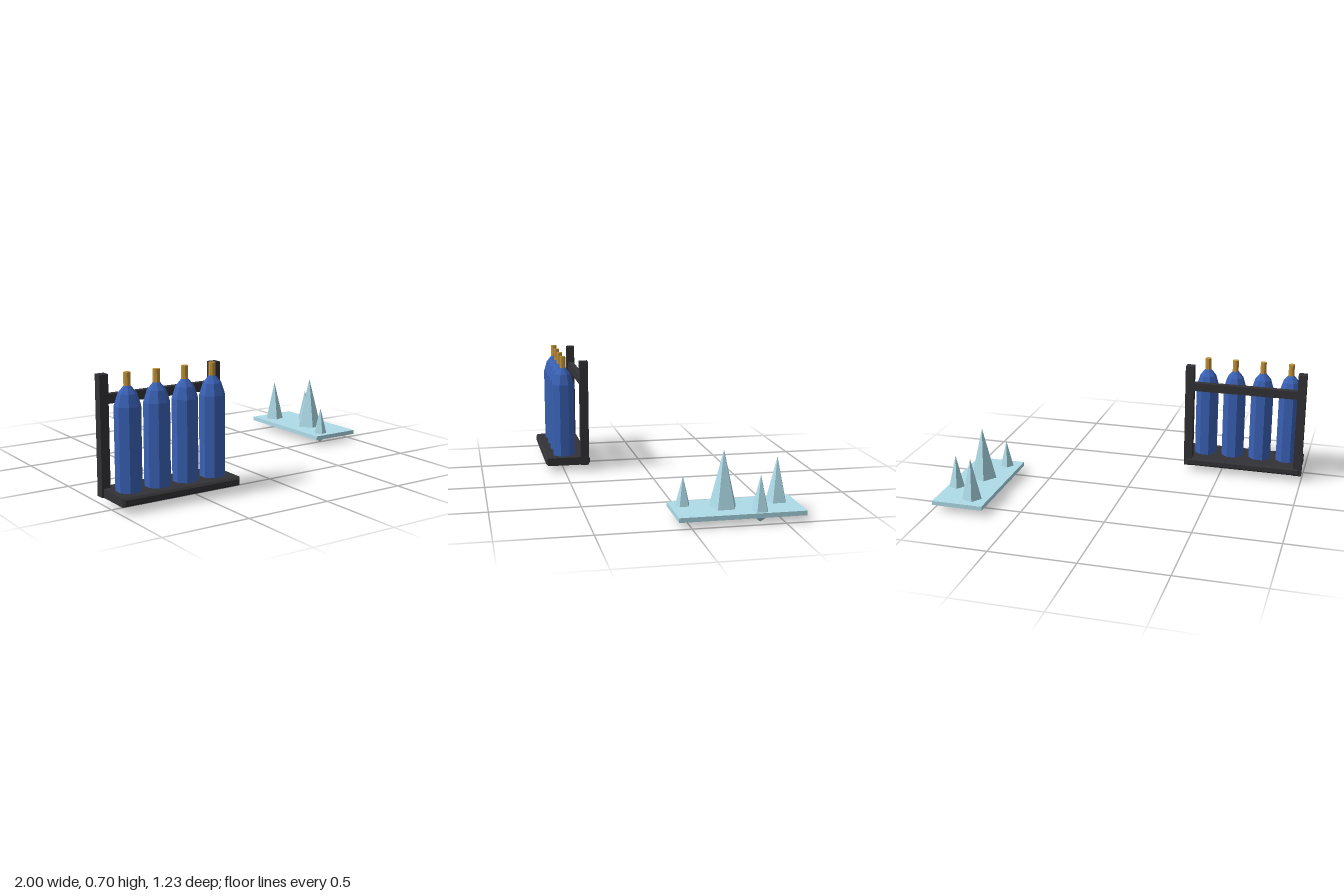
import * as THREE from 'three';

const mat = (color) => new THREE.MeshStandardMaterial({ color, flatShading: true });

function add(parent, name, geometry, material, x = 0, y = 0, z = 0) {
  const mesh = new THREE.Mesh(geometry, material);
  mesh.name = name;
  mesh.position.set(x, y, z);
  parent.add(mesh);
  return mesh;
}

// Centred box whose front and back edges are chamfered by c
function chamferBox(w, h, d, c) {
  const a = w / 2 - c, b = h / 2 - c;
  const shape = new THREE.Shape([
    new THREE.Vector2(-a, -b), new THREE.Vector2(a, -b),
    new THREE.Vector2(a, b), new THREE.Vector2(-a, b),
  ]);
  return new THREE.ExtrudeGeometry(shape, {
    depth: d - 2 * c, bevelEnabled: true, bevelSize: c, bevelThickness: c, bevelSegments: 1,
  }).translate(0, 0, c - d / 2);
}

// Faceted turned form from [radius, height] pairs
const lathe = (points, sides, start) =>
  new THREE.LatheGeometry(points.map(([r, y]) => new THREE.Vector2(r, y)), sides, start);

export function createModel() {
  const model = new THREE.Group();
  const frameMat = mat(0x333337), glassMat = mat(0x3a61b5);
  const goldMat = mat(0xc2923a), iceMat = mat(0xaedce9);

  // Rack: tray, two back posts and a rail between them
  const rack = new THREE.Group();
  rack.name = 'bottleRack';
  model.add(rack);
  const rackX = -0.635;
  add(rack, 'tray', chamferBox(0.71, 0.048, 0.27, 0.011), frameMat, rackX, 0.06, 0.478);
  for (const side of [-1, 1]) {
    add(rack, 'post', new THREE.BoxGeometry(0.05, 0.644, 0.05), frameMat, rackX + side * 0.34, 0.358, 0.375);
  }
  add(rack, 'rail', new THREE.BoxGeometry(0.64, 0.05, 0.036), frameMat, rackX, 0.55, 0.375);

  // Bottles: octagonal body with a stepped shoulder and a gold neck
  const bodyGeo = lathe([[0, 0.08], [0.07, 0.08], [0.07, 0.528], [0.05, 0.592], [0.0186, 0.63], [0, 0.63]], 8, Math.PI / 8);
  const neckGeo = lathe([[0, 0.62], [0.0186, 0.62], [0.0186, 0.7], [0, 0.7]], 8, Math.PI / 8);
  for (let i = 0; i < 4; i++) {
    const bottle = new THREE.Group();
    bottle.name = 'bottle';
    bottle.position.set(-0.893 + i * 0.1703, 0, 0.492);
    add(bottle, 'bottleBody', bodyGeo, glassMat);
    add(bottle, 'bottleNeck', neckGeo, goldMat);
    rack.add(bottle);
  }

  // Ice patch: thin slab pierced by five-sided spikes
  const ice = new THREE.Group();
  ice.name = 'icePatch';
  model.add(ice);
  add(ice, 'iceSlab', new THREE.BoxGeometry(0.305, 0.025, 0.68), iceMat, 0.844, 0.0475, -0.273);
  const spikes = [ // x, z, height, radius
    [0.79, -0.512, 0.305, 0.064],
    [0.944, -0.375, 0.252, 0.053],
    [0.843, -0.204, 0.37, 0.083],
    [0.774, -0.002, 0.22, 0.046],
  ];
  for (const [x, z, h, r] of spikes) {
    add(ice, 'iceSpike', lathe([[0, 0], [r, 0.038], [0, h]], 5, -Math.PI / 2), iceMat, x, 0, z);
  }
  return model;
}
